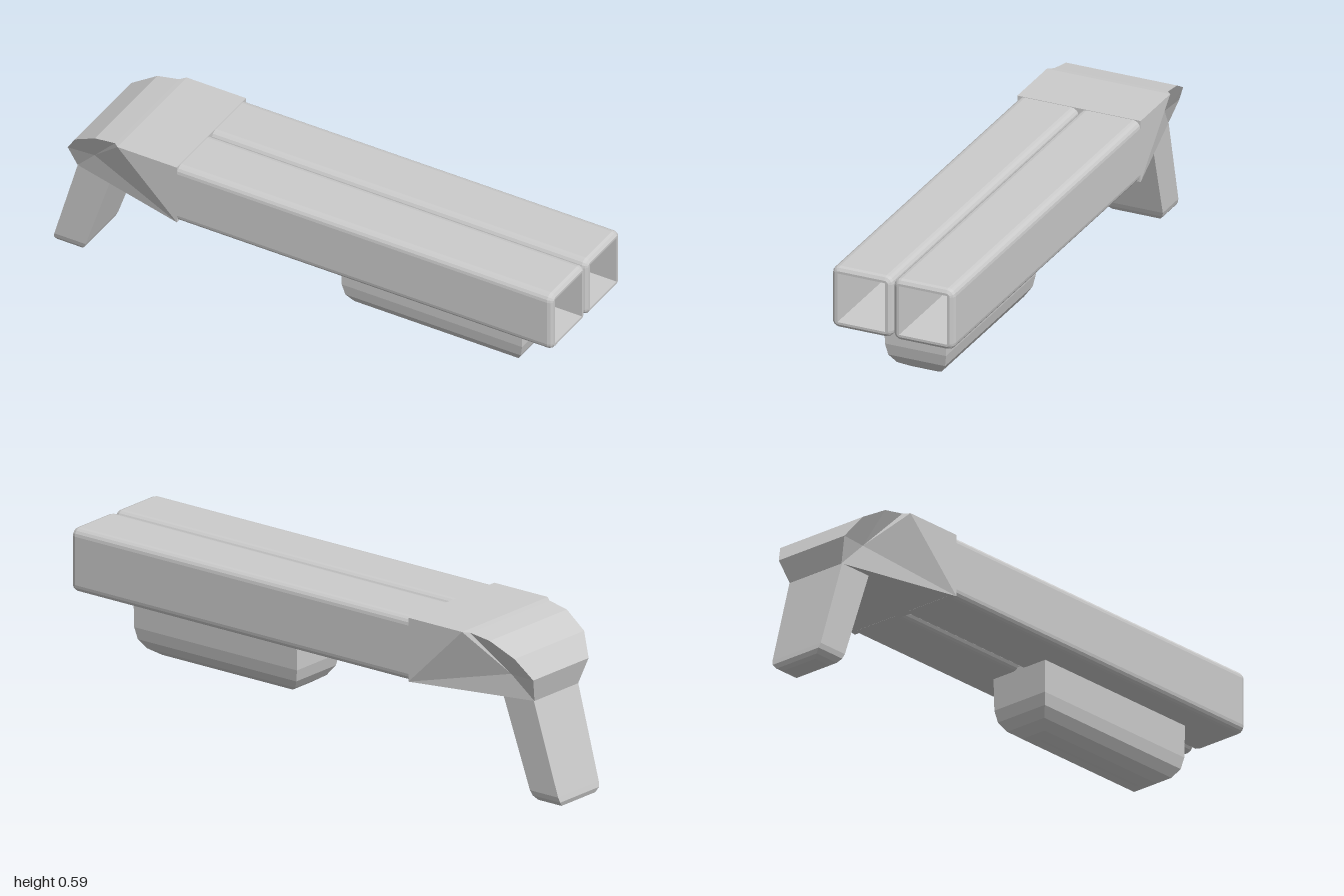
import * as THREE from 'three';

const material = new THREE.MeshStandardMaterial({ color: 0xcccccc, flatShading: true });

function meshFrom(name, points) {
  const g = new THREE.BufferGeometry();
  g.setAttribute('position', new THREE.Float32BufferAttribute(points.flat(), 3));
  g.computeVertexNormals();
  const m = new THREE.Mesh(g, material);
  m.name = name;
  return m;
}

// Skin a stack of equal-length rings and close both ends
function loft(name, rings) {
  const t = [], n = rings[0].length, last = rings[rings.length - 1];
  for (let i = 0; i < rings.length - 1; i++) {
    for (let j = 0; j < n; j++) {
      const k = (j + 1) % n, a = rings[i], b = rings[i + 1];
      t.push(a[j], a[k], b[k], a[j], b[k], b[j]);
    }
  }
  for (let j = 1; j < n - 1; j++) {
    t.push(rings[0][0], rings[0][j + 1], rings[0][j]);
    t.push(last[0], last[j], last[j + 1]);
  }
  return meshFrom(name, t);
}

// Horizontal rectangle used as a ring at height y
const slab = (y, x0, x1, z) => [[x1, y, z], [x1, y, -z], [x0, y, -z], [x0, y, z]];

// Rounded square ring facing +x
function squareRing(x, cy, cz, halfY, halfZ, r) {
  const ring = [], steps = 4;
  [[1, 1], [-1, 1], [-1, -1], [1, -1]].forEach(([sx, sy], c) => {
    for (let i = 0; i <= steps; i++) {
      const a = (c + i / steps) * Math.PI / 2;
      const u = sx * (halfZ - r) + r * Math.cos(a);
      const v = sy * (halfY - r) + r * Math.sin(a);
      ring.push([x, cy + v, cz - u]);
    }
  });
  return ring;
}

// Hollow square barrel with a softened muzzle
function barrel(name, cz) {
  const cy = 0.477, h = 0.1125;
  const ring = (x, inset) => squareRing(x, cy, cz, h - inset, h - inset, 0.027 - inset);
  return loft(name, [
    ring(-0.47, 0), ring(0.982, 0), ring(0.993, 0.004), ring(1, 0.014),
    squareRing(1, cy, cz, 0.09, 0.088, 0.0005),
    squareRing(-0.44, cy, cz, 0.09, 0.088, 0.0005),
  ]);
}

// Receiver: straight block that narrows under a rounded rear hump
function receiver() {
  const A = [-0.45, 0.365, 0.228], B = [-0.45, 0.591, 0.228], C = [-0.68, 0.591, 0.228];
  const D = [-0.82, 0.45, 0.14], E = [-0.9, 0.365, 0.116];
  const hump = [[-0.7, 0.588, 0.21], [-0.78, 0.575, 0.205], [-0.87, 0.525, 0.185], [-0.92, 0.45, 0.147]];
  const mirror = ([x, y, z]) => [x, y, -z];
  const t = [];
  const both = (a, b, c) => t.push(a, b, c, mirror(a), mirror(c), mirror(b));
  // side walls
  both(A, B, C);
  both(A, C, D);
  both(A, D, E);
  const rim = [C, ...hump, E];
  for (let i = 0; i < rim.length - 1; i++) both(rim[i], rim[i + 1], D);
  // top, rear, bottom and front strip
  const chain = [A, B, ...rim, A];
  for (let i = 0; i < chain.length - 1; i++) {
    const p = chain[i], q = chain[i + 1];
    t.push(p, mirror(p), q, mirror(p), mirror(q), q);
  }
  return meshFrom('receiver', t);
}

export function createModel() {
  const group = new THREE.Group();
  group.name = 'doubleBarrelModel';
  group.add(barrel('leftBarrel', 0.114), barrel('rightBarrel', -0.114), receiver());

  // Slanted rear grip with a rounded foot
  group.add(loft('rearGrip', [
    slab(0, -0.98, -0.91, 0.07),
    slab(0.008, -0.995, -0.895, 0.09),
    slab(0.024, -1, -0.882, 0.103),
    slab(0.042, -0.995, -0.874, 0.108),
    slab(0.368, -0.898, -0.765, 0.118),
  ]));

  // Fore grip with a rounded belly
  group.add(loft('foreGrip', [
    slab(0.141, 0.23, 0.71, 0.004),
    slab(0.148, 0.19, 0.75, 0.05),
    slab(0.172, 0.152, 0.788, 0.083),
    slab(0.205, 0.13, 0.81, 0.105),
    slab(0.248, 0.121, 0.819, 0.113),
    slab(0.375, 0.12, 0.82, 0.116),
  ]));
  return group;
}
